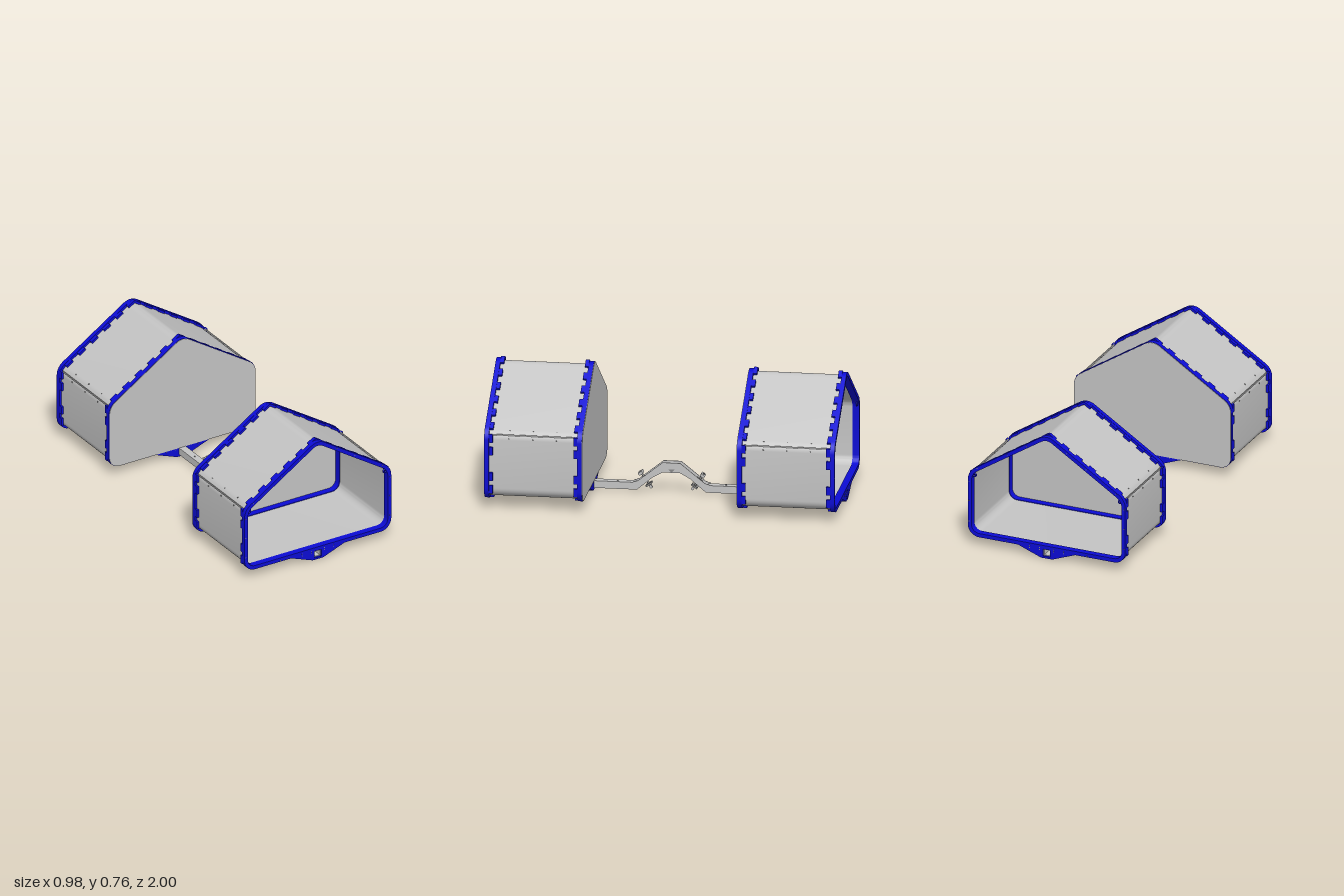
import * as THREE from 'three';
import { toCreasedNormals } from 'three/addons/utils/BufferGeometryUtils.js';

const shell = new THREE.MeshStandardMaterial({ color: 0xc4c4c4 });
shell.name = 'light grey sheet';
const blue = new THREE.MeshStandardMaterial({ color: 0x0c0cd4 });
blue.name = 'blue frame';
const steel = new THREE.MeshStandardMaterial({ color: 0x868686 });
steel.name = 'dark grey fittings';

const V = (x, y) => new THREE.Vector2(x, y);
// house-shaped section: corner x, y and rounding radius, counter-clockwise
const CORNERS = [[-0.488, 0.055, 0.07], [0.488, 0.055, 0.07], [0.488, 0.45, 0.09],
  [0, 0.765, 0.08], [-0.488, 0.45, 0.09]];

// rounded outline, moved inwards by d
function outline(d) {
  const pts = [], n = CORNERS.length;
  for (let i = 0; i < n; i++) {
    const [a, b, c] = [i + n - 1, i, i + 1].map(k => V(...CORNERS[k % n].slice(0, 2)));
    const u = b.clone().sub(a).normalize(), v = c.clone().sub(b).normalize();
    const nu = V(-u.y, u.x), nv = V(-v.y, v.x);
    const r = CORNERS[i][2], bis = nu.clone().add(nv).normalize();
    const centre = b.clone().addScaledVector(bis, r / bis.dot(nu));
    const from = Math.atan2(-nu.y, -nu.x), turn = Math.acos(u.dot(v));
    for (let k = 0; k <= 10; k++) {
      const t = from + turn * k / 10;
      pts.push(V(centre.x + (r - d) * Math.cos(t), centre.y + (r - d) * Math.sin(t)));
    }
  }
  return pts;
}

function mesh(name, geo, mat, parent, x = 0, y = 0, z = 0) {
  const m = new THREE.Mesh(geo, mat);
  m.name = name;
  m.position.set(x, y, z);
  parent.add(m);
  return m;
}

// straight extrusion from z0 to z1, optionally with a hole
function prism(pts, hole, z0, z1) {
  const s = new THREE.Shape(pts);
  if (hole) s.holes.push(new THREE.Path(hole));
  const g = new THREE.ExtrudeGeometry(s, { depth: z1 - z0, bevelEnabled: false });
  return toCreasedNormals(g.translate(0, 0, z0), 0.5);
}

const rect = (w, y0, y1) => [V(-w, y0), V(w, y0), V(w, y1), V(-w, y1)];

// end frame: outer face at z = 0, reaching back to -z
function makeFrame() {
  const f = new THREE.Group();
  f.name = 'endFrame';
  mesh('frameRing', prism(outline(0), outline(0.023), -0.027, 0), blue, f);
  mesh('innerLip', prism(outline(0.0192), outline(0.023), -0.04, -0.026), blue, f);

  // teeth that grip the sheet along each edge
  const edges = [[0, 1, [0.09, 0.19, 0.29, 0.71, 0.81, 0.91]], [1, 2, [0.16, 0.35, 0.73, 0.92]],
    [2, 3, [0.11, 0.28, 0.45, 0.62, 0.79, 0.95]]];
  for (const [i, j, ts] of edges) {
    const a = V(CORNERS[i][0], CORNERS[i][1]), b = V(CORNERS[j][0], CORNERS[j][1]);
    const ang = Math.atan2(b.y - a.y, b.x - a.x);
    for (const t of ts) {
      const p = a.clone().lerp(b, t);
      p.x -= Math.sin(ang) * 0.009;
      p.y += Math.cos(ang) * 0.009;
      for (const s of i === 0 ? [1] : [1, -1]) {
        mesh('frameTooth', new THREE.BoxGeometry(0.048, 0.014, 0.022), blue, f, p.x * s, p.y, -0.037)
          .rotation.z = ang * s;
      }
    }
  }

  // tapered bracket and sleeve around the beam
  const hole = rect(0.0225, 0.012, 0.0555);
  mesh('beamBracket', prism([V(-0.18, 0.056), V(-0.035, 0.001), V(0.035, 0.001), V(0.18, 0.056)],
    hole, -0.027, 0), blue, f);
  mesh('beamSleeve', prism([V(-0.075, 0.069), V(-0.035, 0.008), V(0.035, 0.008), V(0.075, 0.069)],
    hole, -0.09, -0.026), blue, f);

  for (const s of [1, -1]) {
    // screw bosses inside the upper corners
    mesh('screwBoss', new THREE.TorusGeometry(0.009, 0.005, 8, 16), blue, f, 0.451 * s, 0.43, -0.012);
    // screws on the face
    for (const [x, y] of [[0.48, 0.145], [0.48, 0.27], [0.48, 0.39], [0.43, 0.478], [0.245, 0.595],
      [0.125, 0.672], [0.25, 0.062], [0.105, 0.05], [0.105, 0.062], [0.043, 0.05], [0.043, 0.062]]) {
      mesh('frameScrew', new THREE.CylinderGeometry(0.003, 0.003, 0.003, 8), steel, f, x * s, y, 0)
        .rotation.x = Math.PI / 2;
    }
  }
  return f;
}

// one pod with its beam, on the +z side
function makeHalf() {
  const h = new THREE.Group();
  h.name = 'podAndBeam';
  mesh('podShell', prism(outline(0.015), outline(0.019), 0.45, 0.985), shell, h);
  mesh('endPanel', prism(outline(0.002), null, 0.44, 0.4435), shell, h);

  const outer = makeFrame(), inner = makeFrame();
  outer.position.z = 1;
  inner.position.z = 0.443;
  inner.rotation.y = Math.PI;
  h.add(outer, inner);

  for (const s of [1, -1]) {
    // overlapping sheet seam with rivets on both sides
    mesh('seamLip', new THREE.BoxGeometry(0.005, 0.006, 0.48), shell, h, 0.473 * s, 0.44, 0.72);
    mesh('seamGap', new THREE.BoxGeometry(0.004, 0.003, 0.48), steel, h, 0.473 * s, 0.4355, 0.72);
    for (const z of [0.59, 0.725, 0.86]) {
      const low = mesh('rivet', new THREE.CylinderGeometry(0.004, 0.004, 0.004, 8), steel, h,
        0.473 * s, 0.415, z);
      low.rotation.z = Math.PI / 2;
      const high = mesh('rivet', new THREE.CylinderGeometry(0.004, 0.004, 0.004, 8), steel, h,
        0.446 * s, 0.459, z);
      high.rotation.z = -0.6 * s;
    }
  }

  // hollow square beam
  mesh('beam', prism(rect(0.0222, 0.0135, 0.0555), rect(0.0185, 0.017, 0.052), 0.205, 0.99), shell, h);
  mesh('beamBolt', new THREE.CylinderGeometry(0.004, 0.004, 0.006, 10), steel, h, 0, 0.056, 0.31);

  // clamp with a through bolt at the foot of the bridge
  const c = new THREE.Group();
  c.name = 'bridgeClamp';
  c.position.set(0, 0.072, 0.15);
  c.rotation.x = 0.62;
  mesh('clampBlock', new THREE.BoxGeometry(0.036, 0.026, 0.04), steel, c);
  mesh('clampBolt', new THREE.CylinderGeometry(0.006, 0.006, 0.115, 12), steel, c);
  mesh('boltHead', new THREE.BoxGeometry(0.046, 0.016, 0.026), shell, c, 0, 0.046, 0);
  mesh('boltNut', new THREE.BoxGeometry(0.036, 0.01, 0.04), steel, c, 0, -0.034, 0);
  mesh('boltTip', new THREE.BoxGeometry(0.016, 0.018, 0.014), shell, c, 0, -0.052, 0);
  h.add(c);
  return h;
}

export function createModel() {
  const g = new THREE.Group();
  g.name = 'twinPods';
  const front = makeHalf(), back = front.clone();
  back.rotation.y = Math.PI;
  g.add(front, back);

  // raised bridge: two cranked side plates joined by a cross pin
  const half = [[0.22, 0.0155], [0.22, 0.058], [0.19, 0.068], [0.05, 0.18]];
  const under = [[0.05, 0.122], [0.11, 0.088], [0.195, 0.0155]];
  const side = [...half, ...half.map(([z, y]) => [-z, y]).reverse(),
    ...under.map(([z, y]) => [-z, y]).reverse(), ...under].map(p => V(...p));
  for (const s of [1, -1]) {
    const geo = prism(side, null, -0.002, 0.002).rotateY(-Math.PI / 2);
    mesh('bridgePlate', geo, shell, g, 0.0225 * s, 0, 0);
    const mark = prism([V(-0.02, 0.142), V(0, 0.124), V(0.02, 0.142)], null, -0.001, 0.001)
      .rotateY(-Math.PI / 2);
    mesh('bridgeSlot', mark, steel, g, 0.0242 * s, 0, 0);
  }
  return g;
}
